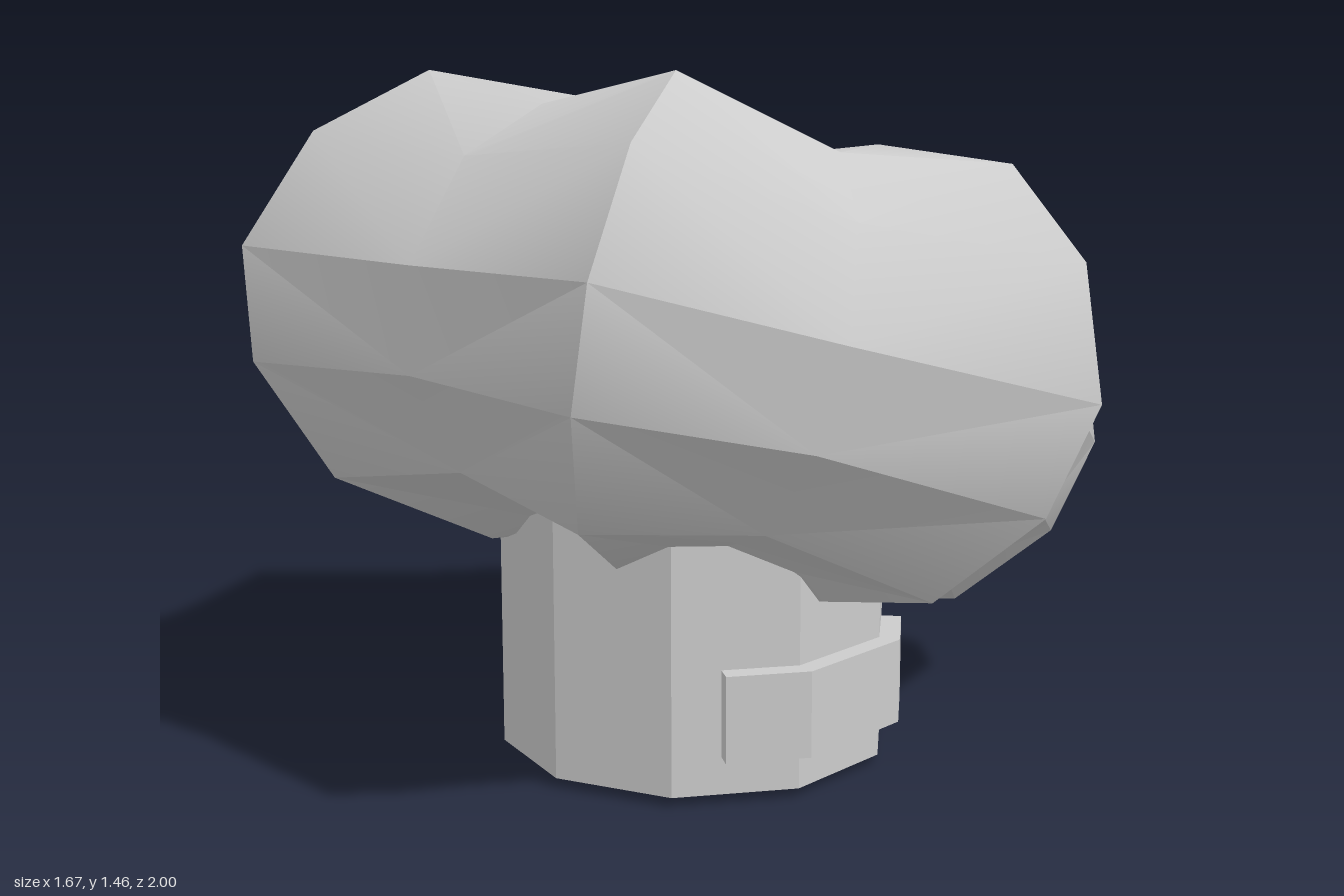
import * as THREE from 'three';
import { toCreasedNormals } from 'three/addons/utils/BufferGeometryUtils.js';

const CREASE = THREE.MathUtils.degToRad(31);

function part(name, geometry) {
  const mesh = new THREE.Mesh(
    toCreasedNormals(geometry, CREASE),
    new THREE.MeshStandardMaterial({ color: 0xcccccc })
  );
  mesh.name = name;
  return mesh;
}

// Rings from the lower centre to the top dent: [lobe radius, lobe height, fold radius, fold height]
const RINGS = [
  [0.37, -0.486, 0.3, -0.42],
  [0.72, -0.424, 0.61, -0.36],
  [0.93, -0.225, 0.785, -0.2],
  [1.0, 0, 0.84, 0],
  [0.91, 0.262, 0.765, 0.23],
  [0.705, 0.445, 0.6, 0.38],
  [0.37, 0.475, 0.304, 0.41],
];

// Six puffed lobes with a fold between each pair
function puffGeometry() {
  const sides = 12;
  const positions = [];
  const index = [];
  for (const [lobeR, lobeY, foldR, foldY] of RINGS) {
    for (let i = 0; i < sides; i++) {
      const lobe = i % 2 === 1;
      const a = (i * Math.PI) / 6;
      const r = lobe ? lobeR : foldR;
      positions.push(r * Math.cos(a), lobe ? lobeY : foldY, r * Math.sin(a));
    }
  }
  const bottom = RINGS.length * sides;
  const top = bottom + 1;
  positions.push(0, -0.38, 0, 0, 0.37, 0);
  const last = (RINGS.length - 1) * sides;
  for (let i = 0; i < sides; i++) {
    const j = (i + 1) % sides;
    for (let k = 0; k < last; k += sides) {
      const a = k + i, b = k + j, c = a + sides, d = b + sides;
      // Mirror the diagonals so every lobe is symmetric
      if (i % 2) index.push(a, c, b, b, c, d);
      else index.push(a, c, d, a, d, b);
    }
    index.push(bottom, i, j, top, last + j, last + i);
  }
  const g = new THREE.BufferGeometry();
  g.setAttribute('position', new THREE.Float32BufferAttribute(positions, 3));
  g.setIndex(index);
  return g;
}

// Hollow ten-sided band with a bevelled lower rim
function bandGeometry() {
  const profile = [[0.362, 0.55], [0.362, 0.01], [0.372, 0], [0.425, 0.02], [0.425, 0.62]];
  return new THREE.LatheGeometry(
    profile.map(([r, y]) => new THREE.Vector2(r, y)), 10, Math.PI / 2
  );
}

// Plate folded around the front three faces of the band
function plateGeometry() {
  const half = [[0.145, 0.447], [0.2875, 0.345], [0.262, 0.31], [0.131, 0.404]];
  const outline = [
    ...half,
    ...half.map(([x, z]) => [-x, z]).reverse(),
  ].map(([x, z]) => new THREE.Vector2(x, z));
  const g = new THREE.ExtrudeGeometry(new THREE.Shape(outline), { depth: 0.18, bevelEnabled: false });
  return g.rotateX(Math.PI / 2);
}

export function createModel() {
  const model = new THREE.Group();
  model.name = 'puffyHat';

  const puff = part('puffedCrown', puffGeometry());
  puff.position.y = 0.85;
  puff.rotation.z = -0.3;

  const base = new THREE.Group();
  base.name = 'headBand';
  base.position.set(-0.0675, 0, 0.048);
  const plate = part('frontPlate', plateGeometry());
  plate.position.y = 0.28;
  base.add(part('band', bandGeometry()), plate);

  model.add(puff, base);
  return model;
}
